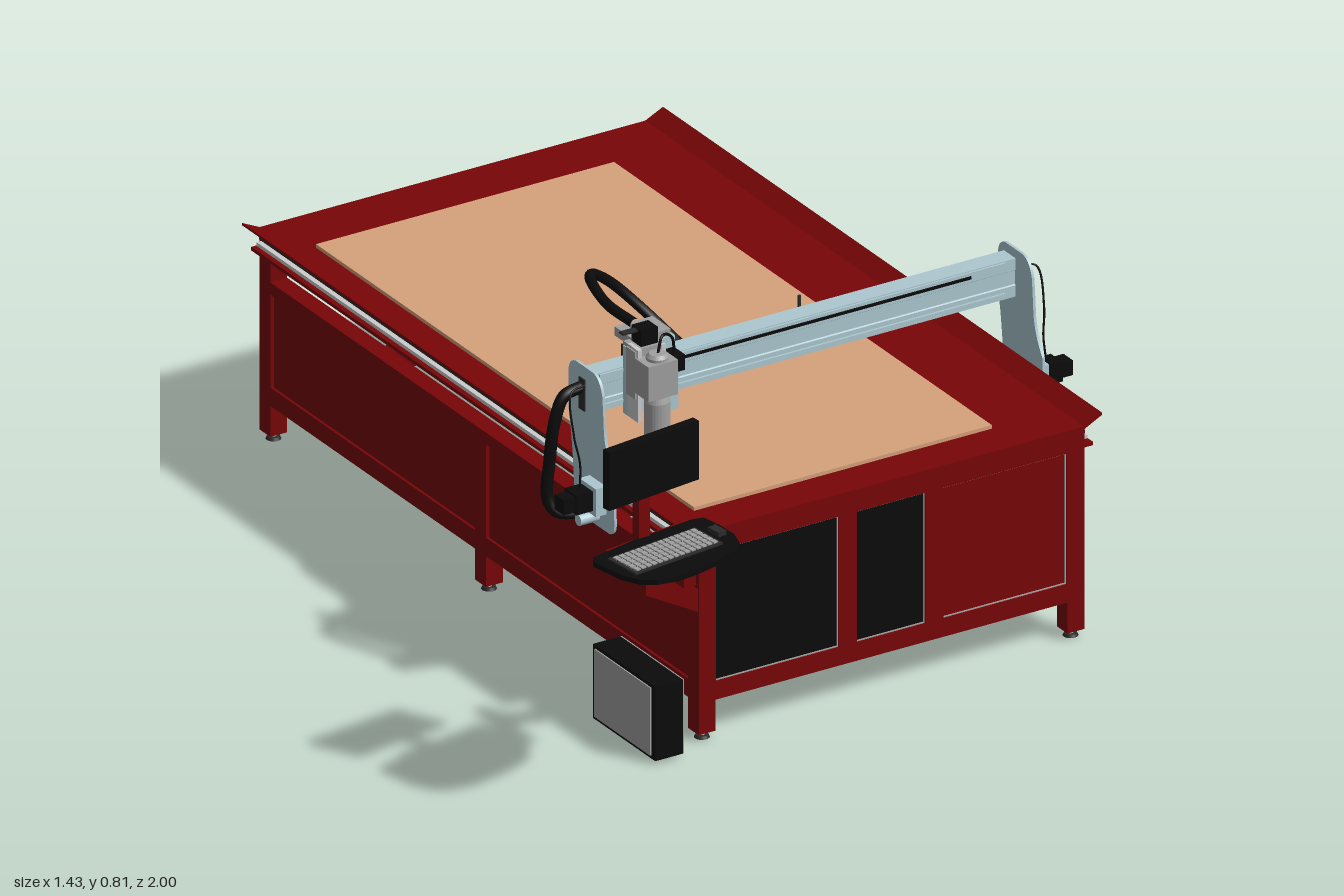
import * as THREE from 'three';

const mat = (color) => new THREE.MeshStandardMaterial({ color });
const RED = mat(0x780506), BLACK = mat(0x0b0b0b), BLUE = mat(0xadc8d1), WOOD = mat(0xd6a17b);
const GREY = mat(0xa0a0a0), STEEL = mat(0xcccccc), DARK = mat(0x2a2a2a);
const V = (x, y, z) => new THREE.Vector3(x, y, z);

export function createModel() {
  const model = new THREE.Group();
  let target = model;

  const section = (name) => {
    target = new THREE.Group();
    target.name = name;
    model.add(target);
    return target;
  };
  const add = (name, geometry, material) => {
    const m = new THREE.Mesh(geometry, material);
    m.name = name;
    target.add(m);
    return m;
  };
  // box given by its limits on each axis
  const box = (name, material, x0, x1, y0, y1, z0, z1) => {
    const m = add(name, new THREE.BoxGeometry(x1 - x0, y1 - y0, z1 - z0), material);
    m.position.set((x0 + x1) / 2, (y0 + y1) / 2, (z0 + z1) / 2);
    return m;
  };
  // cylinder between two points
  const rod = (name, material, a, b, r0, r1 = r0, sides = 20) => {
    const m = add(name, new THREE.CylinderGeometry(r1, r0, a.distanceTo(b), sides), material);
    m.position.copy(a).lerp(b, 0.5);
    m.quaternion.setFromUnitVectors(V(0, 1, 0), b.clone().sub(a).normalize());
    return m;
  };
  const cable = (name, points, r) =>
    add(name, new THREE.TubeGeometry(new THREE.CatmullRomCurve3(points.map((p) => V(...p))), 64, r, 10), BLACK);
  const outline = (points) => new THREE.Shape(points.map((p) => new THREE.Vector2(...p)));
  const rect = (x0, x1, y0, y1) => outline([[x0, y0], [x1, y0], [x1, y1], [x0, y1]]);
  const extrude = (shape, depth) => new THREE.ExtrudeGeometry(shape, { depth, bevelEnabled: false, curveSegments: 12 });
  // profile drawn in (z, y), swept from x0 to x1
  const alongX = (name, shape, x0, x1, material) => {
    const m = add(name, extrude(shape, x1 - x0).rotateY(-Math.PI / 2), material);
    m.position.x = x1;
    return m;
  };

  const L = -0.345, R = 0.567, CX = 0.111, F = 0.65, B = -1, T = 0.04, TOP = 0.467;

  // table frame
  section('table');
  box('tableTop', RED, L, R, 0.42, TOP, B, F);
  box('spoilBoard', WOOD, -0.3, 0.405, TOP, 0.475, -0.86, 0.56);
  box('backLowerRail', RED, L, R, 0.085, 0.126, B, B + T);
  box('middleCrossRail', RED, L, R, 0.085, 0.126, -0.19, -0.15);
  for (const s of [-1, 1]) {
    const side = (name, material, a, b, ...rest) => // a, b: distance inward from the table edge
      s > 0 ? box(name, material, R - b, R - a, ...rest) : box(name, material, L + a, L + b, ...rest);
    const edge = s > 0 ? R : L;
    side('sideLowerRail', RED, 0, T, 0.085, 0.126, B, F);
    side('sideUpperRail', RED, 0, T, 0.333, 0.36, B, F);
    for (const [z0, z1] of [[-0.956, -0.19], [-0.146, 0.61]])
      side('sidePanel', RED, 0.006, 0.016, 0.126, 0.333, z0, z1);
    for (const z of [B, -0.19, F - T]) {
      side('leg', RED, 0, T, 0.016, z === -0.19 ? 0.36 : 0.42, z, z + T);
      const x = edge - s * T / 2;
      rod('footStem', STEEL, V(x, 0.005, z + T / 2), V(x, 0.018, z + T / 2), 0.006);
      rod('footPad', DARK, V(x, 0, z + T / 2), V(x, 0.006, z + T / 2), 0.016, 0.013);
    }
    // sloping cover over the guide rail and its ledge
    const cover = outline([[0, 0.461], [0.042, 0.482], [0.042, 0.487], [0, TOP]]
      .map(([d, y]) => [edge + s * d, y]));
    add('railCover', extrude(cover, F - B), RED).position.z = B;
    side('railLedge', RED, -0.02, 0, 0.42, 0.428, B, F);
    side('guideRail', STEEL, -0.014, 0, 0.433, 0.441, B + 0.01, F - 0.01);
    side('gearRack', DARK, -0.008, 0, 0.446, 0.453, B + 0.01, F - 0.01);
  }

  // front cabinet face with three doors
  const face = rect(L + T, R - T, 0.085, 0.42);
  const doors = [[-0.304, -0.014], [0.029, 0.191], [0.234, 0.525]];
  for (const [x0, x1] of doors) face.holes.push(rect(x0, x1, 0.126, 0.417));
  add('frontFrame', extrude(face, 0.034), RED).position.z = F - 0.034;
  doors.forEach(([x0, x1], i) => {
    box('door', i < 2 ? BLACK : RED, x0 + 0.002, x1 - 0.002, 0.128, 0.415, F - 0.02, F - 0.006);
    const trim = rect(x0, x1, 0.126, 0.417);
    trim.holes.push(rect(x0 + 0.002, x1 - 0.002, 0.128, 0.415));
    add('doorTrim', extrude(trim, 0.006), GREY).position.z = F - 0.009;
  });

  // gantry beam with a shallow groove front and back
  section('gantry');
  alongX('beam', outline([[0.27, 0.605], [0.314, 0.605], [0.314, 0.63], [0.311, 0.632], [0.311, 0.662],
    [0.314, 0.664], [0.314, 0.69], [0.27, 0.69], [0.27, 0.675], [0.274, 0.672], [0.274, 0.623], [0.27, 0.62]]),
  -0.4, 0.62, BLUE);
  box('beamSlot', BLACK, -0.2, 0.51, 0.672, 0.678, 0.312, 0.317);
  for (const y of [0.617, 0.685]) box('beamRail', BLUE, -0.37, 0.59, y - 0.003, y + 0.003, 0.312, 0.319);
  for (const x of [-0.23, 0.187]) {
    box('cableHook', DARK, x - 0.003, x + 0.003, 0.635, 0.64, 0.18, 0.27);
    box('cableHookTip', DARK, x - 0.003, x + 0.003, 0.635, 0.665, 0.18, 0.185);
  }

  // end plates, drives and carriages, one pair per side
  for (const s of [-1, 1]) {
    const X = (d) => CX + s * d;
    const span = (name, m, a, b, ...rest) => box(name, m, Math.min(X(a), X(b)), Math.max(X(a), X(b)), ...rest);
    const plate = new THREE.Shape();
    plate.moveTo(0.28, 0.376);
    plate.lineTo(0.40, 0.376);
    plate.quadraticCurveTo(0.422, 0.378, 0.42, 0.41);
    plate.lineTo(0.414, 0.51);
    plate.quadraticCurveTo(0.38, 0.56, 0.38, 0.61);
    plate.lineTo(0.375, 0.67);
    plate.quadraticCurveTo(0.365, 0.71, 0.335, 0.71);
    plate.lineTo(0.275, 0.71);
    plate.quadraticCurveTo(0.247, 0.705, 0.247, 0.67);
    plate.lineTo(0.247, 0.6);
    plate.quadraticCurveTo(0.265, 0.52, 0.27, 0.41);
    plate.quadraticCurveTo(0.265, 0.378, 0.28, 0.376);
    const a = X(0.505), b = X(0.511);
    alongX('endPlate', plate, Math.min(a, b), Math.max(a, b), BLUE);
    span('beamEndCap', DARK, 0.511, 0.514, 0.612, 0.682, 0.29, 0.312);
    span('driveMount', BLUE, 0.511, 0.536, 0.415, 0.477, 0.328, 0.39);
    span('driveMotor', BLACK, 0.536, 0.575, 0.425, 0.468, 0.335, 0.38);
    span('motorEnd', BLACK, 0.575, 0.602, 0.43, 0.463, 0.34, 0.375);
    rod('tensioner', BLUE, V(X(0.511), 0.399, 0.355), V(X(0.556), 0.399, 0.355), 0.012);
    span('railCarriage', STEEL, 0.464, 0.505, 0.43, 0.444, 0.29, 0.4);
    cable('motorCable', [[X(0.51), 0.67, 0.31], [X(0.55), 0.665, 0.32], [X(0.556), 0.58, 0.34],
      [X(0.548), 0.52, 0.35], [X(0.552), 0.465, 0.355]], 0.0022);
  }

  // spindle head
  section('spindleHead');
  box('carriagePlate', BLUE, -0.315, -0.202, 0.59, 0.74, 0.318, 0.334);
  box('sidePlate', BLUE, -0.245, -0.204, 0.585, 0.68, 0.334, 0.35);
  box('liftBody', GREY, -0.318, -0.25, 0.64, 0.745, 0.334, 0.368);
  box('spindleClamp', GREY, -0.318, -0.248, 0.655, 0.732, 0.368, 0.418);
  for (const x of [-0.31, -0.254]) box('liftRail', STEEL, x - 0.005, x + 0.005, 0.59, 0.75, 0.334, 0.374);
  box('controlBox', BLACK, -0.248, -0.205, 0.68, 0.715, 0.334, 0.375);
  box('liftMotor', BLACK, -0.3, -0.26, 0.75, 0.785, 0.325, 0.362);
  box('motorPlate', GREY, -0.315, -0.248, 0.742, 0.75, 0.318, 0.368);
  box('topBracket', DARK, -0.335, -0.262, 0.779, 0.783, 0.335, 0.35);
  box('cableBracket', GREY, -0.3, -0.21, 0.735, 0.755, 0.262, 0.33);
  const spindle = [[0, 0.487], [0.003, 0.489], [0.004, 0.507], [0.011, 0.51], [0.013, 0.524], [0.024, 0.528],
    [0.027, 0.54], [0.027, 0.64], [0.023, 0.652], [0.023, 0.738], [0.017, 0.745], [0, 0.745]]
    .map((p) => new THREE.Vector2(...p));
  const body = add('spindle', new THREE.LatheGeometry(spindle, 28), new THREE.MeshStandardMaterial({ color: 0xa0a0a0, flatShading: true }));
  body.position.set(-0.281, 0, 0.392);
  cable('spindleCable', [[-0.28, 0.74, 0.392], [-0.265, 0.775, 0.385], [-0.225, 0.75, 0.36], [-0.22, 0.71, 0.36]], 0.003);

  // flexible cable guides
  section('cableGuides');
  cable('headCableLoop', [[-0.27, 0.765, 0.29], [-0.278, 0.773, 0.2], [-0.26, 0.783, 0.11], [-0.21, 0.757, 0.04],
    [-0.15, 0.71, 0.015], [-0.09, 0.645, 0.035], [-0.05, 0.59, 0.1], [-0.045, 0.577, 0.16], [-0.09, 0.61, 0.24],
    [-0.16, 0.63, 0.255], [-0.27, 0.63, 0.257]], 0.011);
  cable('sideCableGuide', [[-0.4, 0.66, 0.295], [-0.44, 0.65, 0.295], [-0.462, 0.6, 0.295], [-0.475, 0.51, 0.295],
    [-0.482, 0.435, 0.3], [-0.465, 0.405, 0.31], [-0.41, 0.395, 0.32]], 0.013);

  // operator arm: square tubes stepping up from the front leg
  section('operatorArm');
  const diagonal = outline([[-0.345, 0.29], [-0.345, 0.34], [-0.44, 0.39], [-0.44, 0.456], [-0.468, 0.456], [-0.468, 0.358]]);
  add('armBracket', extrude(diagonal, 0.03), RED).position.z = 0.618;
  box('armReach', RED, -0.468, -0.44, 0.432, 0.459, 0.63, 0.79);
  box('armPost', RED, -0.468, -0.44, 0.432, 0.566, 0.763, 0.79);
  box('armCross', RED, -0.658, -0.44, 0.548, 0.57, 0.78, 0.805).rotation.y = 0.15;
  box('screenPost', RED, -0.586, -0.56, 0.568, 0.72, 0.783, 0.808);

  // rounded tray with keyboard and screen
  const tray = outline([[-0.72, 0.85], [-0.71, 0.832], [-0.585, 0.805], [-0.45, 0.79], [-0.425, 0.795], [-0.416, 0.84],
    [-0.413, 0.89], [-0.425, 0.93], [-0.45, 0.955], [-0.5, 0.975], [-0.56, 0.99], [-0.61, 0.996], [-0.655, 0.988],
    [-0.685, 0.968], [-0.705, 0.93]]);
  add('tray', extrude(tray, 0.011).rotateX(Math.PI / 2), BLACK).position.y = 0.582;
  const keyboard = section('keyboard');
  keyboard.position.set(-0.567, 0.582, 0.888);
  keyboard.rotation.y = 0.12;
  box('keyboardBase', DARK, -0.12, 0.105, 0, 0.004, -0.045, 0.045);
  for (let r = 0; r < 5; r++)
    for (let c = 0; c < 15; c++) {
      const x = -0.112 + c * 0.0142, z = -0.038 + r * 0.016;
      box('key', GREY, x, x + 0.011, 0.004, 0.007, z, z + 0.012);
    }
  box('mouse', DARK, 0.118, 0.138, 0, 0.01, -0.02, 0.015);
  const screen = section('screen');
  screen.position.set(-0.566, 0.748, 0.822);
  screen.rotation.y = 0.12;
  box('screenCase', BLACK, -0.116, 0.116, -0.065, 0.065, -0.01, 0.01);
  box('screenBack', BLACK, -0.05, 0.05, -0.045, 0.045, -0.018, -0.01);

  // computer case beside the front leg
  section('computerCase');
  box('caseBody', BLACK, -0.473, -0.408, 0.008, 0.173, 0.456, 0.69);
  box('innerSidePanel', GREY, -0.408, -0.405, 0.008, 0.173, 0.456, 0.69);
  box('outerSidePanel', GREY, -0.476, -0.473, 0.015, 0.166, 0.465, 0.675);
  return model;
}
